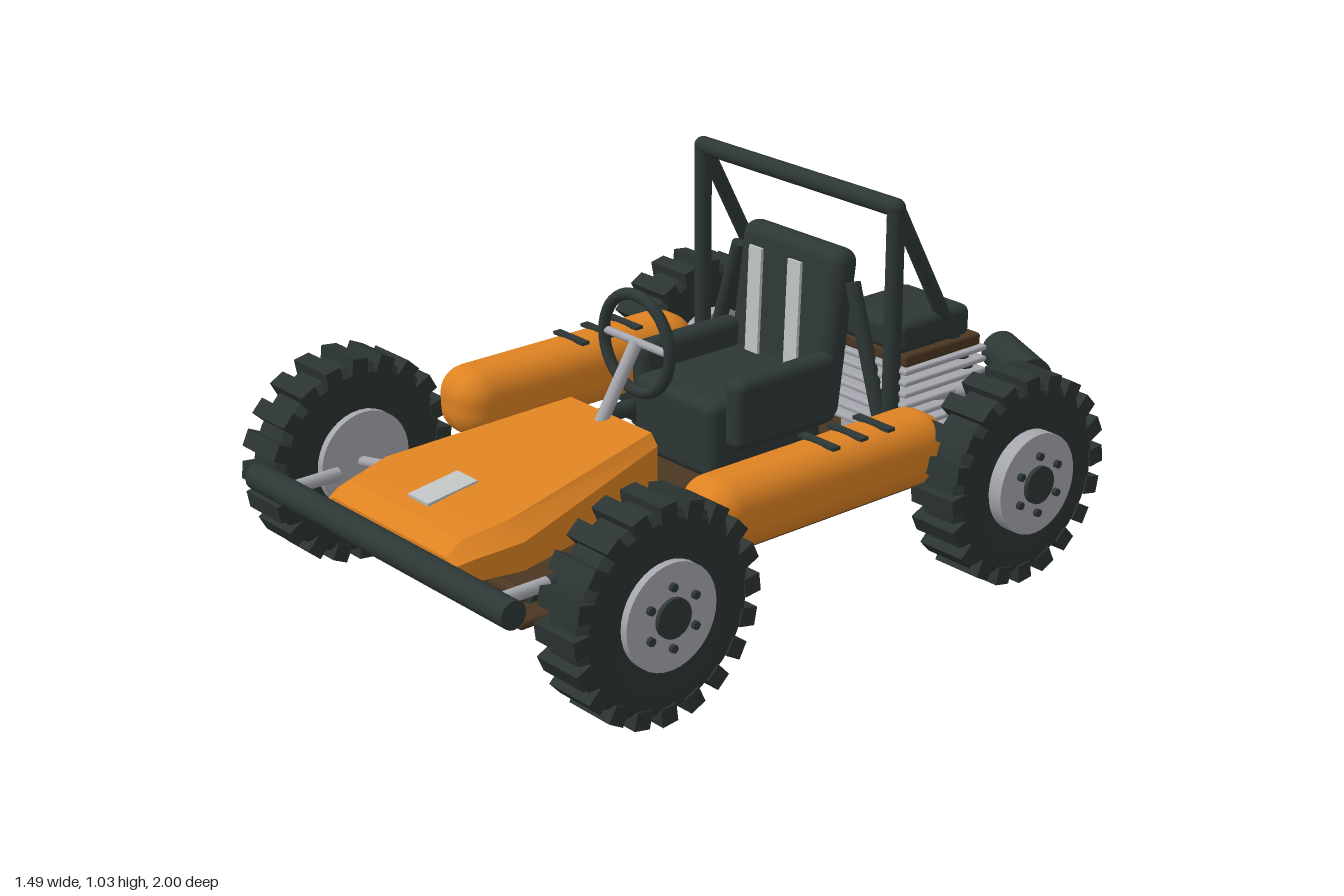
import * as THREE from 'three';
import { RoundedBoxGeometry } from 'three/addons/geometries/RoundedBoxGeometry.js';
import { toCreasedNormals } from 'three/addons/utils/BufferGeometryUtils.js';

const mat = (name, color) => {
  const m = new THREE.MeshStandardMaterial({ color });
  m.name = name;
  return m;
};
const M = {
  frame: mat('darkFrame', 0x2d3735),
  tyre: mat('tyreRubber', 0x2b3432),
  body: mat('orangeBody', 0xde8222),
  brown: mat('brownPan', 0x4b3722),
  metal: mat('silverMetal', 0xa6a6ae),
  pale: mat('paleTrim', 0xc0c4c4),
};

const add = (parent, name, geo, material, x = 0, y = 0, z = 0) => {
  const m = new THREE.Mesh(geo, material);
  m.name = name;
  m.position.set(x, y, z);
  parent.add(m);
  return m;
};
const box = (w, h, d) => new THREE.BoxGeometry(w, h, d);
const rbox = (w, h, d, r) => new RoundedBoxGeometry(w, h, d, 4, r);

// Straight round bar between two points
const bar = (parent, name, a, b, r, material, sides = 16) => {
  const p = new THREE.Vector3(...a), q = new THREE.Vector3(...b);
  const d = q.clone().sub(p);
  const m = add(parent, name, new THREE.CylinderGeometry(r, r, d.length(), sides), material);
  m.position.copy(p).add(q).multiplyScalar(0.5);
  m.quaternion.setFromUnitVectors(new THREE.Vector3(0, 1, 0), d.normalize());
  return m;
};

// Wheel with its axle along x and its outer face toward +x
function wheel(rimHalf) {
  const g = new THREE.Group();
  const profile = [[0.13, -0.06], [0.20, -0.072], [0.245, -0.07], [0.266, -0.05],
    [0.266, 0.05], [0.245, 0.07], [0.20, 0.072], [0.13, 0.06]].map(p => new THREE.Vector2(...p));
  add(g, 'tyre', toCreasedNormals(new THREE.LatheGeometry(profile, 40), 0.6), M.tyre).rotation.z = -Math.PI / 2;
  const lugs = 20, lugGeo = box(0.15, 0.048, 0.048);
  for (let i = 0; i < lugs; i++) {
    const a = i / lugs * Math.PI * 2;
    const lug = add(g, 'treadLug', lugGeo, M.tyre, 0, Math.cos(a) * 0.264, Math.sin(a) * 0.264);
    lug.rotation.x = a + 0.12;
  }
  bar(g, 'rim', [-rimHalf, 0, 0], [rimHalf, 0, 0], 0.14, M.metal, 36);
  bar(g, 'hub', [rimHalf - 0.01, 0, 0], [rimHalf + 0.012, 0, 0], 0.052, M.frame, 20);
  for (let i = 0; i < 6; i++) {
    const a = i / 6 * Math.PI * 2, y = Math.cos(a) * 0.08, z = Math.sin(a) * 0.08;
    bar(g, 'wheelBolt', [rimHalf - 0.005, y, z], [rimHalf + 0.012, y, z], 0.011, M.frame, 8);
  }
  return g;
}

// Nose cover lofted through bevelled cross-sections
function hoodGeometry() {
  // z, lower half width, upper half width, bottom, shoulder, top
  const rows = [[0.22, 0.19, 0.165, 0.31, 0.455, 0.485], [0.75, 0.315, 0.26, 0.31, 0.385, 0.428],
    [0.88, 0.29, 0.24, 0.31, 0.37, 0.405], [0.93, 0.27, 0.24, 0.315, 0.355, 0.372]];
  const pos = [], idx = [];
  for (const [z, w, t, b, s, h] of rows)
    pos.push(-w, b, z, w, b, z, w, s, z, t, h, z, -t, h, z, -w, s, z);
  for (let r = 0; r < rows.length - 1; r++)
    for (let i = 0; i < 6; i++) {
      const a = r * 6 + i, b = r * 6 + (i + 1) % 6;
      idx.push(a, b, b + 6, a, b + 6, a + 6);
    }
  const e = (rows.length - 1) * 6;
  for (let i = 1; i < 5; i++) idx.push(0, i + 1, i, e, e + i, e + i + 1);
  const g = new THREE.BufferGeometry();
  g.setAttribute('position', new THREE.Float32BufferAttribute(pos, 3));
  g.setIndex(idx);
  return toCreasedNormals(g, 0.3);
}

export function createModel() {
  const car = new THREE.Group();
  car.name = 'offRoadKart';

  // Floor, engine tray and cross members
  add(car, 'floorPan', rbox(0.72, 0.025, 1.42, 0.012), M.brown, 0, 0.188, 0.09);
  add(car, 'engineTray', box(0.74, 0.02, 0.3), M.brown, 0, 0.275, -0.61);
  for (const z of [0.81, -0.82])
    bar(car, 'crossMember', [-0.385, 0.288, z], [0.385, 0.288, z], 0.02, M.brown);

  // Bumpers
  for (const z of [0.96, -0.963])
    bar(car, 'bumper', [-0.545, 0.34, z], [0.545, 0.34, z], 0.037, M.frame, 20);

  // Mirrored parts
  for (const s of [-1, 1]) {
    const side = new THREE.Group();
    side.name = s > 0 ? 'leftSide' : 'rightSide';
    car.add(side);
    bar(side, 'chassisRail', [s * 0.385, 0.288, 0.8], [s * 0.385, 0.288, -0.82], 0.024, M.frame);
    for (const z of [0.85, -0.86])
      bar(side, 'bumperMount', [s * 0.44, 0.33, z - 0.07], [s * 0.44, 0.33, z + 0.07], 0.018, M.metal);

    // Roll cage posts and braces
    bar(side, 'cagePost', [s * 0.378, 0.28, -0.43], [s * 0.378, 1.01, -0.43], 0.024, M.frame);
    add(side, 'cageCorner', new THREE.SphereGeometry(0.025, 16, 12), M.frame, s * 0.378, 1.005, -0.43);
    bar(side, 'rearBrace', [s * 0.378, 1.0, -0.435], [s * 0.385, 0.29, -0.82], 0.021, M.frame);
    bar(side, 'seatBrace', [s * 0.225, 0.76, -0.43], [s * 0.37, 0.31, -0.43], 0.021, M.frame);

    // Side pod with top slots
    add(side, 'sidePod', rbox(0.195, 0.195, 0.83, 0.08), M.body, s * 0.502, 0.393, -0.045);
    for (const z of [-0.245, -0.15, -0.052])
      add(side, 'podSlot', box(0.13, 0.009, 0.026), M.frame, s * 0.502, 0.492, z);

    // Suspension and wheels
    bar(side, 'steeringArm', [s * 0.22, 0.30, 0.51], [s * 0.56, 0.29, 0.635], 0.015, M.metal);
    bar(side, 'axleStub', [s * 0.37, 0.295, -0.63], [s * 0.55, 0.295, -0.63], 0.02, M.metal);
    [[0.62, 0.083, 'frontWheel'], [-0.625, 0.104, 'rearWheel']].forEach(([z, half, name]) => {
      const w = wheel(half);
      w.name = name;
      w.position.set(s * 0.63, 0.29, z);
      if (s < 0) w.rotation.y = Math.PI;
      side.add(w);
    });

    // Seat bolster and back strap
    add(side, 'seatBolster', rbox(0.072, 0.2, 0.36, 0.03), M.frame, s * 0.19, 0.47, -0.21);
    const strap = add(side, 'seatStrap', box(0.05, 0.3, 0.009), M.pale, s * 0.077, 0.65, -0.352);
    strap.rotation.x = -0.04;
  }
  bar(car, 'cageTopBar', [-0.378, 1.005, -0.43], [0.378, 1.005, -0.43], 0.025, M.frame);
  bar(car, 'rearAxle', [-0.55, 0.31, -0.63], [0.55, 0.31, -0.63], 0.011, M.metal);

  // Seat
  add(car, 'seatCushion', rbox(0.33, 0.22, 0.4, 0.03), M.frame, 0, 0.39, -0.19);
  const back = add(car, 'seatBack', rbox(0.4, 0.48, 0.085, 0.04), M.frame, 0, 0.6, -0.418);
  back.rotation.x = -0.14;

  // Nose
  add(car, 'hood', hoodGeometry(), M.body);
  const plate = add(car, 'hoodPlate', box(0.085, 0.009, 0.155), M.pale, 0, 0.427, 0.76);
  plate.rotation.x = 0.13;

  // Steering
  add(car, 'steeringWheel', new THREE.TorusGeometry(0.133, 0.016, 12, 40), M.frame, 0, 0.66, 0.13);
  bar(car, 'steeringSpoke', [-0.13, 0.665, 0.13], [0.13, 0.665, 0.13], 0.011, M.metal);
  bar(car, 'steeringColumn', [0, 0.665, 0.13], [0, 0.46, 0.26], 0.018, M.metal);

  // Engine with cooling fins
  const engine = new THREE.Group();
  engine.name = 'engine';
  engine.position.set(0.272, 0, -0.59);
  car.add(engine);
  add(engine, 'engineBlock', box(0.24, 0.3, 0.24), M.metal, 0, 0.42, 0);
  for (let i = 0; i < 7; i++)
    add(engine, 'coolingFin', rbox(0.31, 0.015, 0.31, 0.006), M.metal, 0, 0.365 + i * 0.032, 0);
  add(engine, 'cylinderHead', rbox(0.285, 0.035, 0.285, 0.01), M.brown, 0, 0.582, 0);
  add(engine, 'engineCover', rbox(0.25, 0.09, 0.265, 0.025), M.frame, 0, 0.637, 0.012);

  // Exhaust
  bar(car, 'exhaustPipe', [0.38, 0.45, -0.59], [0.52, 0.47, -0.81], 0.022, M.metal);
  bar(car, 'muffler', [0.313, 0.475, -0.921], [0.523, 0.475, -0.825], 0.056, M.frame, 24);
  return car;
}
